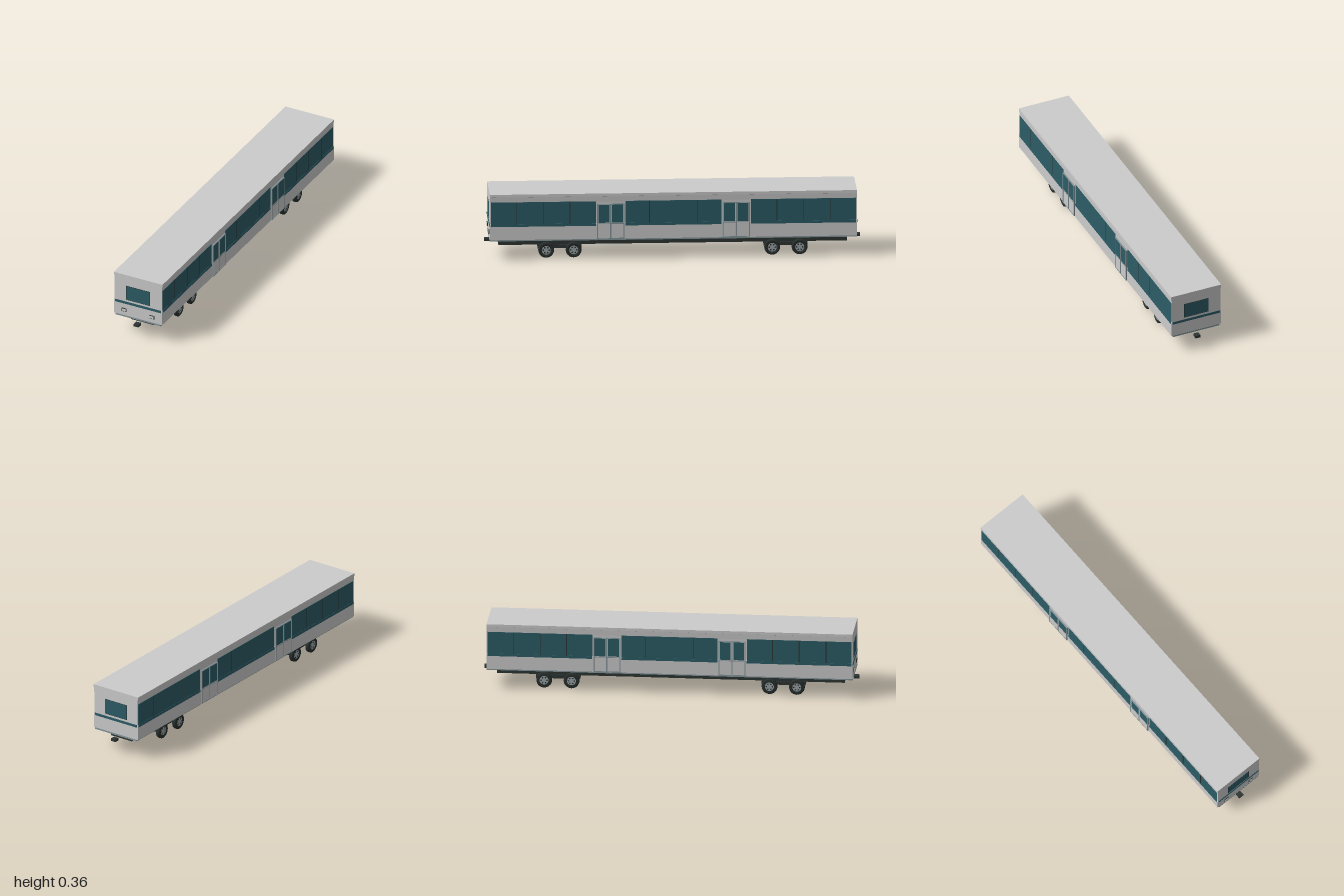
import * as THREE from 'three';

const mat = (name, color) => Object.assign(new THREE.MeshStandardMaterial({ color }), { name });

export function createModel() {
  const shell = mat('light grey shell', 0xcccccc);
  const glass = mat('teal glass', 0x2c5c66);
  const trim = mat('blue grey trim', 0x87979c);
  const steel = mat('dark steel', 0x2d3533);
  const rubber = mat('tyre rubber', 0x28302e);
  const hubGrey = mat('hub grey', 0x9aa3a4);

  const car = new THREE.Group();
  car.name = 'railCar';

  const add = (name, geometry, material, x = 0, y = 0, z = 0, parent = car) => {
    const mesh = new THREE.Mesh(geometry, material);
    mesh.name = name;
    mesh.position.set(x, y, z);
    parent.add(mesh);
    return mesh;
  };
  // Box given by its limits on each axis
  const block = (name, material, x0, x1, y0, y1, z0, z1, parent) =>
    add(name, new THREE.BoxGeometry(Math.abs(x1 - x0), y1 - y0, Math.abs(z1 - z0)), material,
      (x0 + x1) / 2, (y0 + y1) / 2, (z0 + z1) / 2, parent);

  // Body: constant cross-section with recessed window band and roof lip
  const half = [[0.1445, 0.114], [0.1445, 0.199], [0.142, 0.201], [0.142, 0.318],
    [0.1435, 0.347], [0.146, 0.348], [0.146, 0.363]];
  const section = new THREE.Shape();
  half.forEach(([x, y], i) => (i ? section.lineTo(x, y) : section.moveTo(x, y)));
  [...half].reverse().forEach(([x, y]) => section.lineTo(-x, y));
  section.closePath();
  const bodyGeo = new THREE.ExtrudeGeometry(section, { depth: 1.952, bevelEnabled: false });
  bodyGeo.translate(0, 0, -0.976);
  add('body', bodyGeo, shell);
  block('floorSkirt', trim, -0.136, 0.136, 0.105, 0.118, -0.97, 0.97);
  for (const s of [-1, 1]) block('endSill', trim, -0.136, 0.136, 0.105, 0.114, s * 0.96, s * 0.977);

  // Window runs and their dividers along each side
  const runs = [
    { from: 0.412, to: 0.970, bars: [0.55, 0.69, 0.834] },
    { from: -0.256, to: 0.256, bars: [-0.127, 0.127] },
    { from: -0.970, to: -0.412, bars: [-0.834, -0.69, -0.55] },
  ];
  for (const s of [-1, 1]) {
    for (const { from, to, bars } of runs) {
      block('sideWindow', glass, s * 0.140, s * 0.1435, 0.2, 0.32, from, to);
      block('sideStripe', glass, s * 0.141, s * 0.1452, 0.186, 0.2, from, to);
      for (const z of bars) block('windowDivider', steel, s * 0.141, s * 0.144, 0.2, 0.32, z - 0.002, z + 0.002);
    }

    // Double doors
    for (const zc of [-0.334, 0.334]) {
      const door = new THREE.Group();
      door.name = 'doubleDoor';
      car.add(door);
      for (const d of [-1, 1]) {
        const z0 = zc + d * 0.002, z1 = zc + d * 0.07;
        block('doorLeaf', shell, s * 0.141, s * 0.1475, 0.118, 0.305, z0, z1, door);
        block('doorGlass', glass, s * 0.146, s * 0.1482, 0.203, 0.301, zc + d * 0.007, zc + d * 0.065, door);
        block('doorPost', trim, s * 0.141, s * 0.150, 0.116, 0.307, zc + d * 0.067, zc + d * 0.072, door);
        block('doorRail', trim, s * 0.146, s * 0.1485, 0.196, 0.200, z0, z1, door);
      }
      block('doorCentrePost', trim, s * 0.141, s * 0.150, 0.116, 0.307, zc - 0.003, zc + 0.003, door);
      block('doorHeader', trim, s * 0.141, s * 0.1495, 0.303, 0.307, zc - 0.07, zc + 0.07, door);
      block('doorStep', trim, s * 0.141, s * 0.1495, 0.116, 0.120, zc - 0.07, zc + 0.07, door);
    }
  }

  // End windows, stripes and couplers
  for (const s of [-1, 1]) {
    block('endWindowFrame', steel, -0.072, 0.072, 0.212, 0.298, s * 0.973, s * 0.977);
    block('endWindow', glass, -0.070, 0.070, 0.214, 0.296, s * 0.973, s * 0.978);
    block('endStripe', glass, -0.137, 0.137, 0.186, 0.2, s * 0.973, s * 0.978);
    block('coupler', steel, -0.014, 0.014, 0.076, 0.091, s * 0.972, s * 1.0);
  }

  // Headlamps on the front
  for (const s of [-1, 1]) {
    block('headlampFrame', steel, s * 0.069, s * 0.098, 0.138, 0.157, 0.973, 0.980);
    block('headlamp', shell, s * 0.072, s * 0.095, 0.141, 0.154, 0.973, 0.982);
  }

  // Underframe
  block('underframe', steel, -0.069, 0.069, 0.068, 0.087, -0.927, 0.927);

  // Wheel: rounded tyre, hub disc and a ring of dark slots, axis along x
  const tyreProfile = [[0.024, -0.0115], [0.037, -0.0115], [0.041, -0.009], [0.042, -0.004],
    [0.042, 0.004], [0.041, 0.009], [0.037, 0.0115], [0.024, 0.0115], [0.024, -0.0115]]
    .map(([r, y]) => new THREE.Vector2(r, y));
  const tyreGeo = new THREE.LatheGeometry(tyreProfile, 28).rotateZ(-Math.PI / 2);
  const hubGeo = new THREE.CylinderGeometry(0.0245, 0.0245, 0.019, 24).rotateZ(Math.PI / 2);
  const slotGeo = new THREE.CylinderGeometry(0.0042, 0.0042, 0.02, 8).rotateZ(Math.PI / 2);
  const makeWheel = (x, z) => {
    const wheel = new THREE.Group();
    wheel.name = 'wheel';
    wheel.position.set(x, 0.042, z);
    add('tyre', tyreGeo, rubber, 0, 0, 0, wheel);
    add('hub', hubGeo, hubGrey, 0, 0, 0, wheel);
    for (let i = 0; i < 6; i++) {
      const a = (i / 6) * Math.PI * 2;
      add('hubSlot', slotGeo, steel, 0, Math.sin(a) * 0.016, Math.cos(a) * 0.016, wheel);
    }
    return wheel;
  };

  // Bogies
  for (const zc of [-0.601, 0.601]) {
    block('bogieFrame', steel, -0.070, 0.070, 0.047, 0.066, zc - 0.117, zc + 0.117);
    for (const d of [-1, 1]) {
      const z = zc + d * 0.073;
      add('axle', new THREE.CylinderGeometry(0.007, 0.007, 0.15, 12).rotateZ(Math.PI / 2), steel, 0, 0.042, z);
      for (const s of [-1, 1]) car.add(makeWheel(s * 0.0825, z));
    }
  }
  return car;
}
